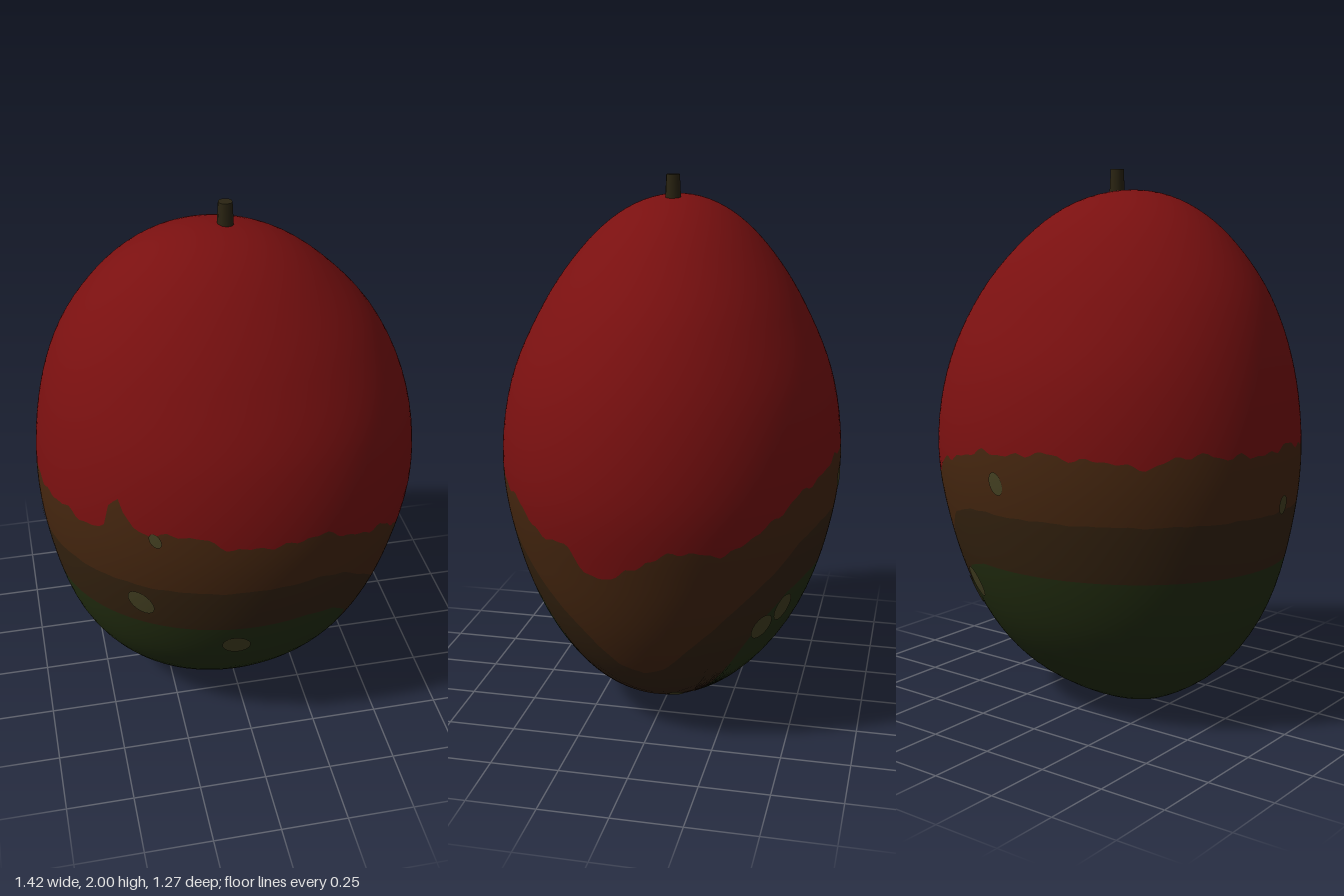
import * as THREE from 'three';

const HEIGHT = 1.925;
const SEGMENTS = 216;

// Cross-sections at even steps from bottom to top: left reach, right reach, depth radius
const LEFT = [-0.09, -0.27, -0.46, -0.6, -0.677, -0.71, -0.685, -0.605, -0.46, -0.28, -0.07];
const RIGHT = [-0.09, 0.19, 0.42, 0.565, 0.66, 0.71, 0.672, 0.555, 0.37, 0.165, -0.07];
const DEPTH = [0, 0.165, 0.345, 0.495, 0.59, 0.632, 0.595, 0.48, 0.335, 0.175, 0];
const CENTRE = LEFT.map((l, i) => (l + RIGHT[i]) / 2);
const WIDTH = LEFT.map((l, i) => (RIGHT[i] - l) / 2);

// Smooth interpolation through evenly spaced values; sign mirrors values past the poles
function smooth(values, s, sign) {
  const n = values.length - 1;
  const f = THREE.MathUtils.clamp(s, 0, 1) * n;
  const i = Math.min(Math.floor(f), n - 1);
  const t = f - i;
  const at = (k) => (k < 0 ? sign * values[-k] : k > n ? sign * values[2 * n - k] : values[k]);
  const [a, b, c, d] = [at(i - 1), at(i), at(i + 1), at(i + 2)];
  return b + 0.5 * t * (c - a + t * (2 * a - 5 * b + 4 * c - d + t * (3 * (b - c) + d - a)));
}

const heightToStep = (y) => Math.acos(THREE.MathUtils.clamp(1 - 2 * y / HEIGHT, -1, 1)) / Math.PI;

// Point on the skin at step s (0 bottom, 1 top) and angle (0 is +x, 90 degrees is +z)
function skinPoint(s, angle) {
  return new THREE.Vector3(
    smooth(CENTRE, s, 1) + smooth(WIDTH, s, -1) * Math.cos(angle),
    HEIGHT * (1 - Math.cos(Math.PI * s)) / 2,
    smooth(DEPTH, s, -1) * Math.sin(angle)
  );
}

function skinNormal(s, angle) {
  const c = THREE.MathUtils.clamp(s, 0.004, 0.996);
  const up = skinPoint(c + 0.003, angle).sub(skinPoint(c - 0.003, angle));
  const around = skinPoint(c, angle + 0.01).sub(skinPoint(c, angle - 0.01));
  return up.cross(around).normalize();
}

// Heights of the colour borders as [degrees, height] pairs
const RED_EDGE = [
  [-180, 1.04], [-165, 1.02], [-150, 1.05], [-128, 1.01], [-110, 1.04], [-88, 1.03], [-70, 1.0],
  [-52, 0.93], [-43, 0.87], [-34, 0.8], [-14, 0.81], [-5, 0.79], [0, 0.74], [9, 0.69], [16, 0.71],
  [21, 0.79], [34, 0.81], [43, 0.88], [60, 0.95], [76, 1.02], [86, 1.0], [94, 1.0], [106, 1.05],
  [126, 1.06], [130, 1.1], [132, 1.16], [135, 1.13], [137, 1.02], [150, 1.02], [180, 1.04]
];
const BROWN_EDGE = [[0, 0.28], [11, 0.31], [26, 0.46], [41, 0.6], [53, 0.7], [61, 0.77], [72, 0.805], [180, 0.805]];
const GREEN_EDGE = [[0, 0], [30, 0], [36, 0.08], [41, 0.22], [45, 0.36], [50, 0.47], [60, 0.56], [72, 0.595], [180, 0.6]];

function lookUp(table, x) {
  const i = Math.max(1, table.findIndex((p) => p[0] >= x));
  const [x0, y0] = table[i - 1];
  const [x1, y1] = table[i];
  return THREE.MathUtils.mapLinear(x, x0, x1, y0, y1);
}

const degrees = (angle) => THREE.MathUtils.clamp(THREE.MathUtils.radToDeg(angle), -180, 180);
const ripple = (a) => 0.008 * Math.sin(17 * a) + 0.007 * Math.sin(31 * a + 1) + 0.005 * Math.sin(53 * a);
const top = () => 1;
const bottom = () => 0;
const redEdge = (a) => heightToStep(lookUp(RED_EDGE, degrees(a)) + ripple(a));
const brownEdge = (a) => heightToStep(lookUp(BROWN_EDGE, Math.abs(degrees(a))) + ripple(a) * 0.2);
const greenEdge = (a) => heightToStep(lookUp(GREEN_EDGE, Math.abs(degrees(a))));

function makeGeometry(positions, normals, index) {
  const geometry = new THREE.BufferGeometry();
  geometry.setAttribute('position', new THREE.Float32BufferAttribute(positions, 3));
  geometry.setAttribute('normal', new THREE.Float32BufferAttribute(normals, 3));
  geometry.setIndex(index);
  return geometry;
}

// Skin between two border curves
function skinBand(lower, upper, rows) {
  const positions = [], normals = [], index = [];
  for (let j = 0; j <= SEGMENTS; j++) {
    const angle = -Math.PI + (2 * Math.PI * j) / SEGMENTS;
    for (let i = 0; i <= rows; i++) {
      const s = THREE.MathUtils.lerp(lower(angle), upper(angle), i / rows);
      positions.push(...skinPoint(s, angle).toArray());
      normals.push(...skinNormal(s, angle).toArray());
      if (i < rows && j < SEGMENTS) {
        const a = j * (rows + 1) + i;
        const b = a + rows + 1;
        index.push(a, a + 1, b, a + 1, b + 1, b);
      }
    }
  }
  return makeGeometry(positions, normals, index);
}

// Thin oval patch following the skin
function skinSpot(angleDegrees, y, long, short, tilt) {
  const angle = THREE.MathUtils.degToRad(angleDegrees);
  const s = heightToStep(y);
  const perStep = skinPoint(s + 0.005, angle).distanceTo(skinPoint(s - 0.005, angle)) / 0.01;
  const perAngle = skinPoint(s, angle + 0.01).distanceTo(skinPoint(s, angle - 0.01)) / 0.02;
  const positions = [], normals = [], index = [];
  const add = (right, up) => {
    const ps = s + up / perStep;
    const pa = angle - right / perAngle;
    const n = skinNormal(ps, pa);
    positions.push(...skinPoint(ps, pa).addScaledVector(n, 0.004).toArray());
    normals.push(...n.toArray());
  };
  add(0, 0);
  const sides = 18;
  for (let k = 0; k < sides; k++) {
    const t = (2 * Math.PI * k) / sides;
    const u = short * Math.cos(t), v = long * Math.sin(t);
    add(u * Math.cos(tilt) - v * Math.sin(tilt), u * Math.sin(tilt) + v * Math.cos(tilt));
    index.push(0, k + 1, ((k + 1) % sides) + 1);
  }
  return makeGeometry(positions, normals, index);
}

export function createModel() {
  const group = new THREE.Group();
  group.name = 'mango';
  const material = (name, color) => {
    const m = new THREE.MeshStandardMaterial({ color });
    m.name = name;
    return m;
  };
  const add = (name, geometry, mat) => {
    const mesh = new THREE.Mesh(geometry, mat);
    mesh.name = name;
    group.add(mesh);
    return mesh;
  };

  // Fruit skin in four colour bands
  add('redSkin', skinBand(redEdge, top, 28), material('ripe red', 0x7a1010));
  add('brownSkin', skinBand(brownEdge, redEdge, 10), material('reddish brown', 0x45260f));
  add('oliveSkin', skinBand(greenEdge, brownEdge, 10), material('dark olive brown', 0x34220f));
  add('greenSkin', skinBand(bottom, greenEdge, 16), material('dark green', 0x232e10));

  // Pale spots: angle, height, long and short radius, tilt
  const spotMaterial = material('pale olive', 0x454122);
  const spots = [
    [120, 1.03, 0.03, 0.021, 0.5], [126, 0.715, 0.06, 0.045, 0.6], [95, 0.49, 0.06, 0.05, 0.6],
    [160, 0.24, 0.028, 0.024, 0.4], [177, 0.83, 0.035, 0.027, 0], [-86, 0.92, 0.042, 0.03, 0.4],
    [-51, 0.44, 0.058, 0.05, 0.2], [-60, 0.495, 0.062, 0.048, 0.2], [-17, 0.13, 0.04, 0.026, 0.4]
  ];
  spots.forEach((spot, i) => add(`spot${i + 1}`, skinSpot(...spot), spotMaterial));

  // Short stem
  const stem = add('stem', new THREE.CylinderGeometry(0.025, 0.031, 0.12, 10), material('stem brown', 0x2a2412));
  stem.position.set(0, 1.94, 0);

  return group;
}
